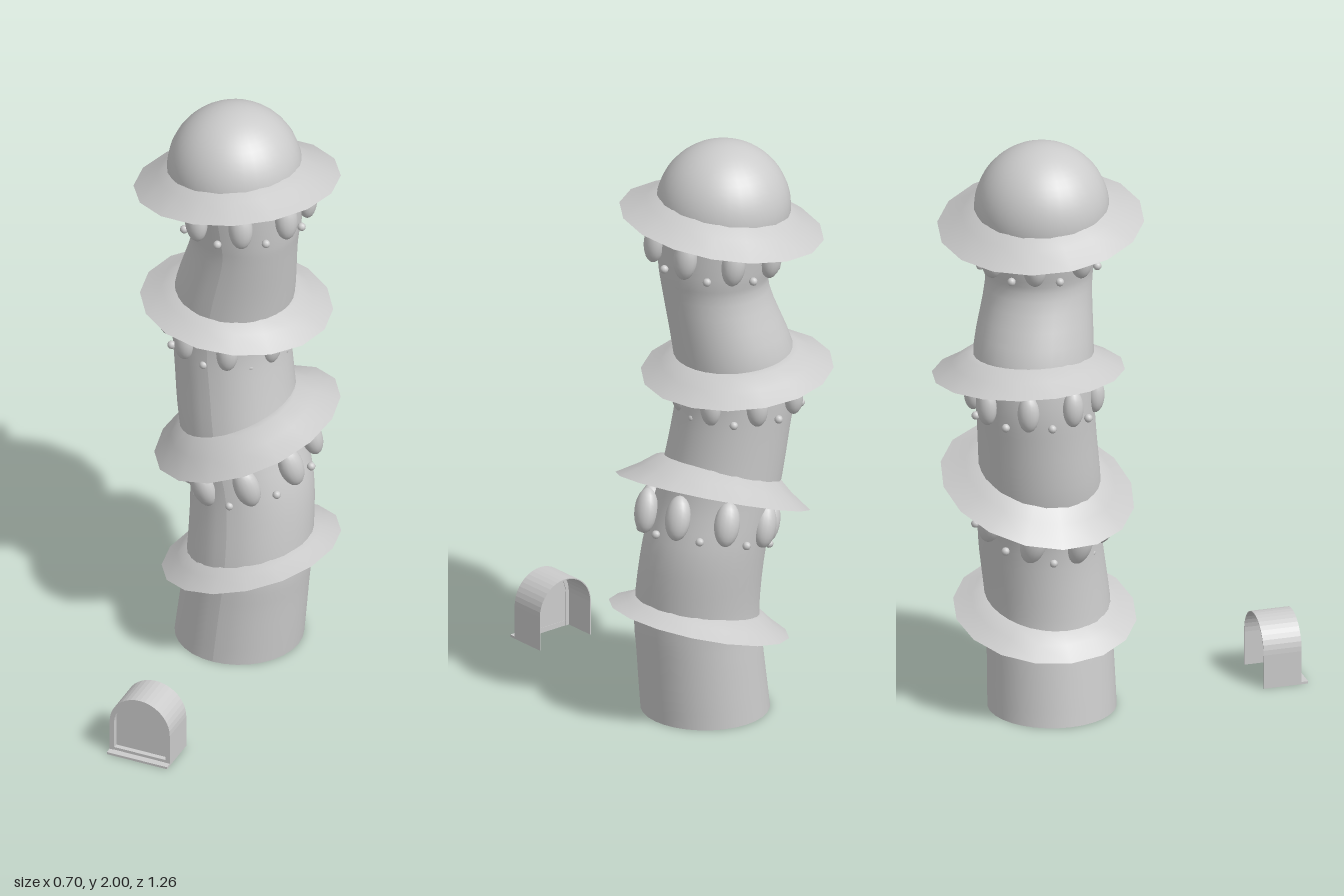
import * as THREE from 'three';

const material = new THREE.MeshStandardMaterial({ color: 0xcccccc, side: THREE.DoubleSide });

function addMesh(parent, name, geometry, x = 0, y = 0, z = 0) {
  const mesh = new THREE.Mesh(geometry, material);
  mesh.name = name;
  mesh.position.set(x, y, z);
  parent.add(mesh);
  return mesh;
}

// Group centred at a point, tilted so its plane rises by slopeX along x and slopeZ along z
function tiltedGroup(parent, name, [x, y, z], slopeX, slopeZ) {
  const group = new THREE.Group();
  group.name = name;
  group.position.set(x, y, z);
  const normal = new THREE.Vector3(-slopeX, 1, -slopeZ).normalize();
  group.quaternion.setFromUnitVectors(new THREE.Vector3(0, 1, 0), normal);
  parent.add(group);
  return group;
}

// Crooked trunk: an open tube following wandering circular sections
function trunkGeometry() {
  // y, x, z, radius
  const sections = [
    [0, 0.02, -0.217, 0.212], [0.2, 0.042, -0.217, 0.208], [0.36, 0.058, -0.22, 0.205],
    [0.6, 0.05, -0.25, 0.203], [0.8, 0, -0.265, 0.2], [1.0, -0.03, -0.285, 0.195],
    [1.15, -0.045, -0.297, 0.195], [1.3, -0.03, -0.295, 0.197], [1.5, 0.015, -0.265, 0.176],
    [1.6, 0.017, -0.265, 0.188], [1.78, 0, -0.265, 0.21],
  ];
  const path = new THREE.CatmullRomCurve3(
    sections.map(([y, x, z]) => new THREE.Vector3(x, y, z)), false, 'catmullrom');
  const radii = new THREE.SplineCurve(sections.map(([y, , , r]) => new THREE.Vector2(r, y)));
  const geometry = new THREE.CylinderGeometry(1, 1, 1, 32, 40, true);
  const pos = geometry.attributes.position;
  for (let i = 0; i < pos.count; i++) {
    const t = THREE.MathUtils.clamp(pos.getY(i) + 0.5, 0, 1);
    const c = path.getPoint(t);
    const r = radii.getPoint(t).x;
    pos.setXYZ(i, c.x + r * pos.getX(i), c.y, c.z + r * pos.getZ(i));
  }
  geometry.computeVertexNormals();
  return geometry;
}

// Flared brim with a flat underside
function addBrim(parent, name, centre, slopeX, slopeZ, radius, height) {
  const group = tiltedGroup(parent, name, centre, slopeX, slopeZ);
  const inner = 0.205;
  const mid = inner + (radius - inner) * 0.4;
  const profile = [[radius, 0], [mid, height * 0.54], [inner, height], [0.17, height * 1.05]]
    .map(([r, y]) => new THREE.Vector2(r, y));
  addMesh(group, 'brimTop', new THREE.LatheGeometry(profile, 16));
  addMesh(group, 'brimUnderside', new THREE.RingGeometry(0.17, radius, 16)).rotation.x = Math.PI / 2;
}

// Eight oval windows with a small bead below each gap
function addWindowRing(parent, name, centre, slopeX, slopeZ, radius, halfHeight) {
  const group = tiltedGroup(parent, name, centre, slopeX, slopeZ);
  for (let i = 0; i < 8; i++) {
    const a = ((i + 0.5) * Math.PI) / 4;
    const pane = addMesh(group, 'ovalWindow', new THREE.SphereGeometry(1, 16, 12),
      Math.sin(a) * radius, 0, Math.cos(a) * radius);
    pane.scale.set(halfHeight * 0.57, halfHeight, halfHeight * 0.5);
    pane.rotation.y = a;
    const b = (i * Math.PI) / 4;
    addMesh(group, 'bead', new THREE.SphereGeometry(0.014, 10, 8),
      Math.sin(b) * radius, -halfHeight * 0.9, Math.cos(b) * radius);
  }
}

// Round-topped outline, traced from lower right over the arch to lower left
function archPoints(halfWidth, spring) {
  const points = [new THREE.Vector2(halfWidth, 0)];
  for (let i = 0; i <= 20; i++) {
    const a = (i / 20) * Math.PI;
    points.push(new THREE.Vector2(Math.cos(a) * halfWidth, spring + Math.sin(a) * halfWidth));
  }
  points.push(new THREE.Vector2(-halfWidth, 0));
  return points;
}

// Arched band of the given thickness, open at the bottom
function archBand(halfWidth, spring, thickness, depth) {
  const shape = new THREE.Shape([
    ...archPoints(halfWidth, spring),
    ...archPoints(halfWidth - thickness, spring).reverse(),
  ]);
  return new THREE.ExtrudeGeometry(shape, { depth, bevelEnabled: false });
}

function addDoor(parent) {
  const door = new THREE.Group();
  door.name = 'door';
  door.position.set(0.039, 0, 0);
  parent.add(door);
  const w = 0.108, spring = 0.117;
  addMesh(door, 'porchShell', archBand(w, spring, 0.003, 0.13), 0, 0, 0.48);
  addMesh(door, 'doorFrame', archBand(w, spring, 0.016, 0.02), 0, 0, 0.59);
  addMesh(door, 'doorPanel', new THREE.ShapeGeometry(new THREE.Shape(archPoints(w - 0.014, spring))), 0, 0, 0.592);
  addMesh(door, 'doorThreshold', new THREE.BoxGeometry(2 * w - 0.02, 0.018, 0.018), 0, 0.009, 0.6);
  addMesh(door, 'doorStep', new THREE.BoxGeometry(2 * w, 0.008, 0.03), 0, 0.004, 0.617);
}

export function createModel() {
  const model = new THREE.Group();
  model.name = 'crookedTower';

  addMesh(model, 'trunk', trunkGeometry());

  // Dome cap
  const dome = addMesh(model, 'dome',
    new THREE.SphereGeometry(0.222, 32, 16, 0, Math.PI * 2, 0, Math.PI * 0.58), -0.018, 1.778, -0.264);
  dome.material = material;

  // Brims from bottom to top
  addBrim(model, 'lowestBrim', [0.057, 0.322, -0.23], 0.265, 0, 0.302, 0.055);
  addBrim(model, 'lowerBrim', [0.027, 0.778, -0.265], 0.355, -0.117, 0.325, 0.085);
  addBrim(model, 'upperBrim', [-0.035, 1.215, -0.315], -0.08, 0.02, 0.317, 0.065);
  addBrim(model, 'topBrim', [-0.01, 1.725, -0.265], 0.125, 0.097, 0.34, 0.08);

  // Window rings under the upper three brims
  addWindowRing(model, 'lowerWindows', [0.038, 0.69, -0.25], 0.28, -0.15, 0.212, 0.075);
  addWindowRing(model, 'middleWindows', [-0.055, 1.143, -0.302], -0.03, 0, 0.2, 0.063);
  addWindowRing(model, 'topWindows', [0.013, 1.66, -0.26], 0.08, 0.07, 0.208, 0.07);

  addDoor(model);
  return model;
}
